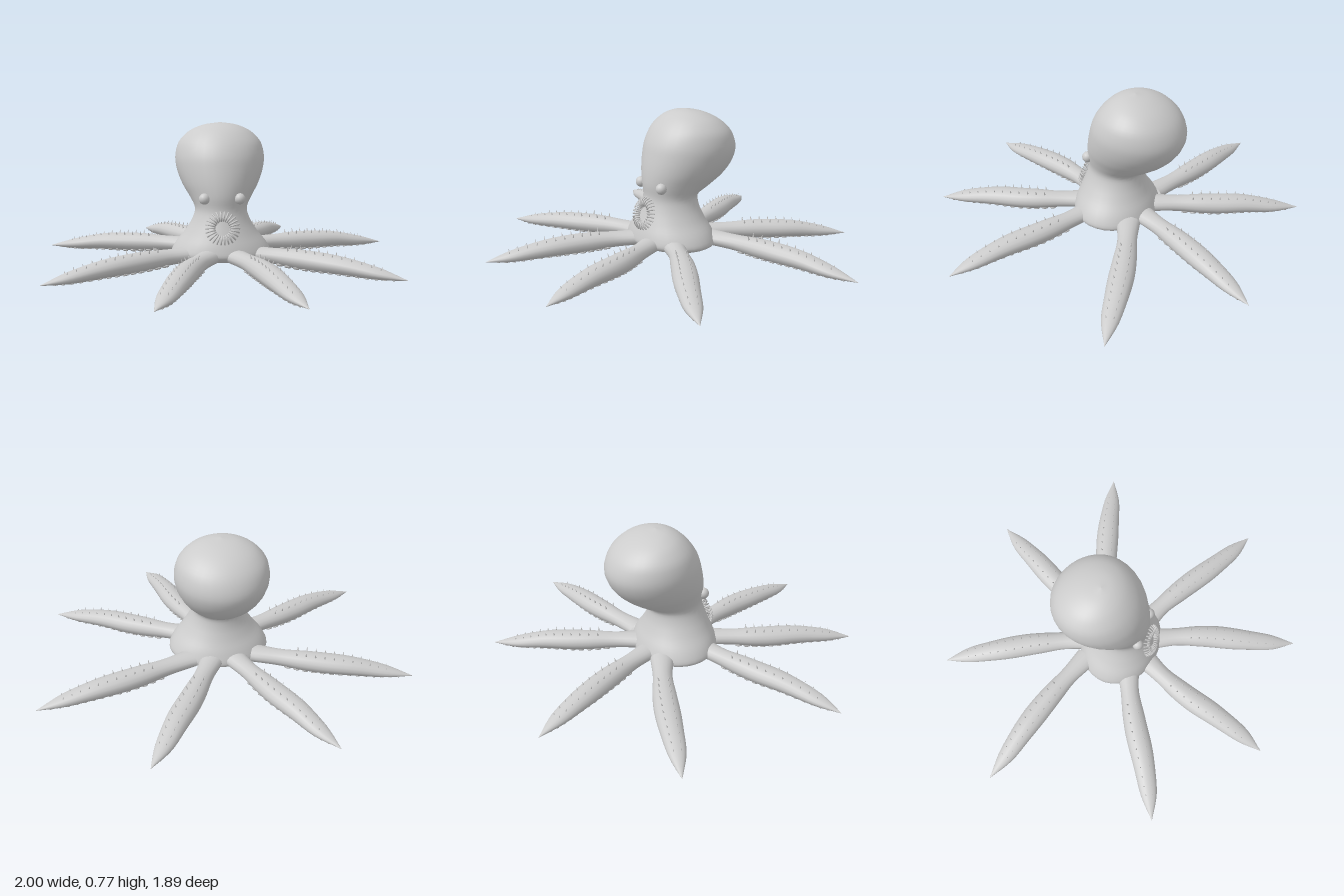
import * as THREE from 'three';

const V = (x, y, z) => new THREE.Vector3(x, y, z);
const UP = V(0, 1, 0);
const material = new THREE.MeshStandardMaterial({ color: 0xcccccc, side: THREE.DoubleSide });

function addMesh(parent, geometry, name) {
  const mesh = new THREE.Mesh(geometry, material);
  mesh.name = name;
  parent.add(mesh);
  return mesh;
}

// Smooth skin over closed rings; point(t, angle) gives the surface position
function loft(point, rows, cols) {
  const positions = [], index = [];
  for (let i = 0; i <= rows; i++) {
    for (let j = 0; j < cols; j++) {
      positions.push(...point(i / rows, (j / cols) * Math.PI * 2).toArray());
      if (i === rows) continue;
      const a = i * cols + j, b = i * cols + ((j + 1) % cols);
      index.push(a, b, b + cols, a, b + cols, a + cols);
    }
  }
  const geometry = new THREE.BufferGeometry();
  geometry.setAttribute('position', new THREE.Float32BufferAttribute(positions, 3));
  geometry.setIndex(index);
  geometry.computeVertexNormals();
  return geometry;
}

// Tilted body sections: front z, front y, back z, back y, half width
const sections = [
  [-0.02, 0.06, -0.03, 0.06, 0.005],
  [0.16, 0.055, -0.21, 0.05, 0.22],
  [0.205, 0.085, -0.25, 0.07, 0.275],
  [0.2, 0.13, -0.235, 0.13, 0.255],
  [0.175, 0.2, -0.2, 0.2, 0.2],
  [0.15, 0.27, -0.175, 0.27, 0.158],
  [0.135, 0.33, -0.175, 0.325, 0.143],
  [0.14, 0.4, -0.25, 0.37, 0.17],
  [0.135, 0.47, -0.33, 0.43, 0.21],
  [0.12, 0.55, -0.385, 0.5, 0.24],
  [0.1, 0.62, -0.405, 0.575, 0.25],
  [0.06, 0.69, -0.375, 0.66, 0.232],
  [0, 0.75, -0.31, 0.725, 0.175],
  [-0.06, 0.78, -0.22, 0.77, 0.095],
  [-0.125, 0.79, -0.126, 0.79, 0.001],
];

function makeBody() {
  const front = new THREE.CatmullRomCurve3(sections.map((s) => V(0, s[1], s[0])));
  const back = new THREE.CatmullRomCurve3(sections.map((s) => V(0, s[3], s[2])));
  const width = new THREE.CatmullRomCurve3(sections.map((s, i) => V(s[4], i * 0.05, 0)));
  return loft((t, a) => {
    const f = front.getPoint(t), b = back.getPoint(t);
    const p = f.clone().add(b).multiplyScalar(0.5);
    p.addScaledVector(b.sub(f), 0.5 * Math.sin(a));
    p.x = Math.max(width.getPoint(t).x, 0.001) * Math.cos(a);
    return p;
  }, 56, 32);
}

// Half width, half height along an arm
const armSize = new THREE.CatmullRomCurve3([
  V(0.065, 0.04, 0), V(0.052, 0.042, 0.2), V(0.062, 0.051, 0.4), V(0.066, 0.05, 0.6),
  V(0.058, 0.042, 0.8), V(0.043, 0.027, 1), V(0.001, 0.001, 1.2),
]);

const spikeGeometry = new THREE.ConeGeometry(0.006, 0.028, 6).translate(0, 0.01, 0);
const suckerGeometry = new THREE.TorusGeometry(0.012, 0.006, 6, 12).rotateX(Math.PI / 2);

function makeArm(path, name) {
  const arm = new THREE.Group();
  arm.name = name;
  const curve = new THREE.CatmullRomCurve3(path);
  const frame = (t) => {
    const along = curve.getTangent(t).setY(0).normalize();
    return { centre: curve.getPoint(t), side: V(0, 1, 0).cross(along), size: armSize.getPoint(t) };
  };
  const surface = (t, a) => {
    const { centre, side, size } = frame(t);
    return centre.addScaledVector(side, size.x * Math.cos(a)).addScaledVector(UP, size.y * Math.sin(a));
  };
  addMesh(arm, loft(surface, 28, 16), 'armSkin');

  // Sets a small part on the skin, pointing outward
  const place = (geometry, t, a, scale, partName) => {
    const { side, size } = frame(t);
    const normal = side.multiplyScalar(Math.cos(a) / size.x).addScaledVector(UP, Math.sin(a) / size.y).normalize();
    const part = addMesh(arm, geometry, partName);
    part.position.copy(surface(t, a));
    part.quaternion.setFromUnitVectors(UP, normal);
    part.scale.setScalar(scale);
  };
  for (const sign of [-1, 1]) {
    for (let i = 0; i < 11; i++) {
      const t = 0.27 + i * 0.056;
      place(spikeGeometry, t, Math.PI / 2 + sign * 0.42, 1 - i * 0.045, 'spike');
    }
    for (let i = 0; i < 14; i++) {
      const t = 0.22 + i * 0.053;
      place(suckerGeometry, t, -Math.PI / 2 + sign * 0.5, 1.1 - i * 0.05, 'sucker');
    }
  }
  return arm;
}

// Arm centre lines on the model's left, from body to tip; heights follow one rule
const armHeights = [0.09, 0.085, 0.08, 0.074, 0.055, 0.034];
const armPaths = {
  frontArm: [[0.06, 0.14], [0.135, 0.3], [0.195, 0.46], [0.24, 0.63], [0.29, 0.8], [0.34, 0.94]],
  frontSideArm: [[0.16, 0.08], [0.3, 0.145], [0.46, 0.235], [0.61, 0.33], [0.77, 0.42], [0.91, 0.49]],
  backSideArm: [[0.17, -0.17], [0.34, -0.24], [0.51, -0.3], [0.68, -0.35], [0.84, -0.39], [1, -0.435]],
  backArm: [[0.06, -0.2], [0.135, -0.36], [0.215, -0.52], [0.3, -0.67], [0.375, -0.81], [0.455, -0.945]],
};

// Ring of curved bristles around a round opening
function makeMouth() {
  const mouth = new THREE.Group();
  mouth.name = 'mouth';
  const bristle = new THREE.TubeGeometry(new THREE.CatmullRomCurve3([
    V(0.04, 0, -0.005), V(0.052, 0, 0.018), V(0.072, 0, 0.018), V(0.092, 0, -0.004),
  ]), 8, 0.0045, 6);
  for (let i = 0; i < 26; i++) {
    addMesh(mouth, bristle, 'bristle').rotation.z = (i / 26) * Math.PI * 2;
  }
  mouth.position.set(0, 0.243, 0.16);
  mouth.rotation.x = -0.3;
  return mouth;
}

export function createModel() {
  const model = new THREE.Group();
  model.name = 'octopus';
  addMesh(model, makeBody(), 'headAndBody');
  model.add(makeMouth());

  for (const sign of [1, -1]) {
    const sideName = sign > 0 ? 'left' : 'right';
    // Eye bump
    const eye = addMesh(model, new THREE.SphereGeometry(0.03, 16, 12), sideName + 'Eye');
    eye.position.set(sign * 0.095, 0.395, 0.112);
    for (const [name, path] of Object.entries(armPaths)) {
      const points = path.map(([x, z], i) => V(sign * x, armHeights[i], z));
      model.add(makeArm(points, sideName + name[0].toUpperCase() + name.slice(1)));
    }
  }
  return model;
}
